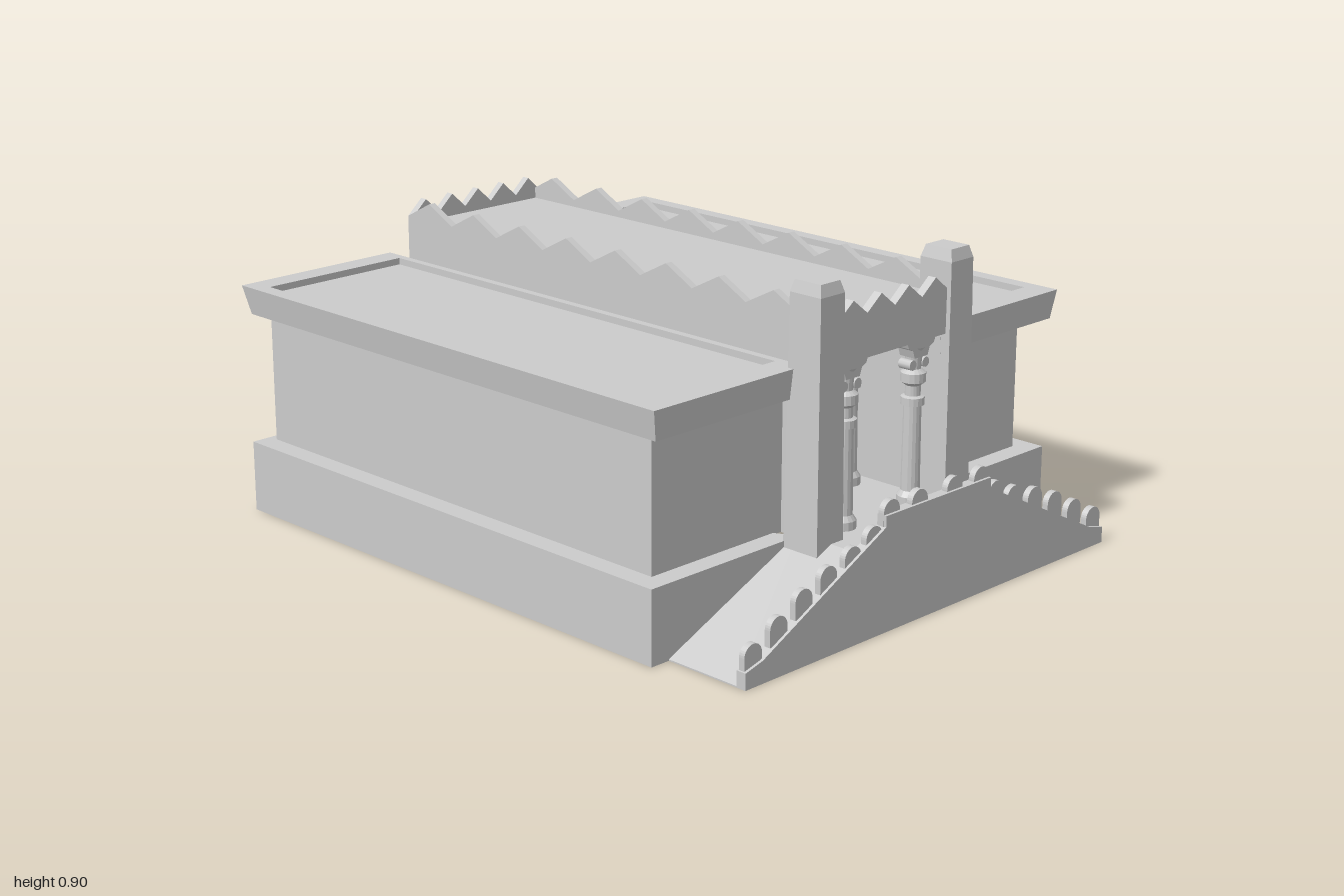
import * as THREE from 'three';

const mat = new THREE.MeshStandardMaterial({ color: 0xcccccc, side: THREE.DoubleSide });

function add(parent, name, geometry, x = 0, y = 0, z = 0) {
  const m = new THREE.Mesh(geometry, mat);
  m.name = name;
  m.position.set(x, y, z);
  parent.add(m);
  return m;
}

// box given by its limits
function block(parent, name, x0, x1, y0, y1, z0, z1) {
  return add(parent, name, new THREE.BoxGeometry(x1 - x0, y1 - y0, z1 - z0),
    (x0 + x1) / 2, (y0 + y1) / 2, (z0 + z1) / 2);
}

function plate(points, depth) {
  const s = new THREE.Shape(points.map(p => new THREE.Vector2(p[0], p[1])));
  return new THREE.ExtrudeGeometry(s, { depth, bevelEnabled: false });
}

// flat-faced shell through rectangles [x0, x1, z0, z1, y]; skip(i, side) leaves faces open
// sides: 0 front, 1 right (x1), 2 back, 3 left (x0)
function rectShell(rects, skip = () => false, cap = true) {
  const pos = [];
  const corners = ([x0, x1, z0, z1, y]) => [[x0, y, z1], [x1, y, z1], [x1, y, z0], [x0, y, z0]];
  const quad = (a, b, c, d) => pos.push(...a, ...b, ...c, ...a, ...c, ...d);
  for (let i = 0; i < rects.length - 1; i++) {
    const lo = corners(rects[i]), hi = corners(rects[i + 1]);
    for (let k = 0; k < 4; k++) {
      const n = (k + 1) % 4;
      if (!skip(i, k)) quad(lo[k], lo[n], hi[n], hi[k]);
    }
  }
  if (cap) quad(...corners(rects[rects.length - 1]));
  const g = new THREE.BufferGeometry();
  g.setAttribute('position', new THREE.Float32BufferAttribute(pos, 3));
  g.computeVertexNormals();
  return g;
}

// wall strip topped with pointed teeth, running along x from -length/2
function toothed(length, teeth, y0, valley, peak, depth) {
  const pts = [[-length / 2, y0], [length / 2, y0]];
  for (let i = teeth; i >= 0; i--) {
    const x = -length / 2 + (i * length) / teeth;
    pts.push([x, valley]);
    if (i) pts.push([x - length / teeth / 2, peak]);
  }
  return plate(pts, depth);
}

// side wing: plinth, wall, flared cornice and sunken roof, open underneath
function sideWing() {
  const g = new THREE.Group();
  g.name = 'sideWing';
  add(g, 'wingShell', rectShell([
    [0.25, 0.78, -0.875, 0.74, 0],
    [0.25, 0.78, -0.875, 0.74, 0.205],
    [0.28, 0.72, -0.845, 0.68, 0.205],
    [0.28, 0.72, -0.845, 0.68, 0.585],
    [0.26, 0.775, -0.86, 0.75, 0.585],
    [0.257, 0.79, -0.88, 0.76, 0.667],
    [0.28, 0.745, -0.81, 0.68, 0.667],
    [0.28, 0.745, -0.81, 0.68, 0.648],
  ], (i, k) => (k === 3 && i < 3) || (k === 0 && i === 0)));
  // plinth front above the ramp line
  add(g, 'plinthFront', plate([[0.72, 0], [0.78, 0], [0.78, 0.205], [0.25, 0.205]], 0.002), 0, 0, 0.738);
  // short returns that close the gap to the hall
  block(g, 'frontReturn', 0.21, 0.28, 0.2, 0.59, 0.64, 0.68);
  block(g, 'hallCorner', 0.21, 0.25, 0.2, 0.6, 0.68, 0.75);
  block(g, 'backReturn', 0.25, 0.28, 0, 0.59, -0.845, -0.77);
  return g;
}

// gate tower with a chamfered top
function tower() {
  return rectShell([
    [0.204, 0.304, 0.737, 0.853, 0.18],
    [0.209, 0.298, 0.743, 0.847, 0.865],
    [0.218, 0.29, 0.752, 0.838, 0.897],
  ]);
}

function column() {
  const g = new THREE.Group();
  g.name = 'column';
  const profile = [[0.036, 0.21], [0.036, 0.235], [0.026, 0.25], [0.024, 0.485], [0.032, 0.487], [0.032, 0.508],
    [0.021, 0.512], [0.021, 0.54], [0.034, 0.55], [0.034, 0.575], [0.02, 0.585], [0.024, 0.635], [0.03, 0.645]];
  add(g, 'shaft', new THREE.LatheGeometry(profile.map(p => new THREE.Vector2(...p)), 16).toNonIndexed());
  g.children[0].geometry.computeVertexNormals();
  // scrolls and bracket of the capital
  for (const s of [-1, 1]) {
    add(g, 'scroll', new THREE.CylinderGeometry(0.014, 0.014, 0.04, 10), s * 0.026, 0.6, 0).rotation.x = Math.PI / 2;
  }
  add(g, 'bracket', plate([[-0.026, 0.62], [0.026, 0.62], [0.034, 0.642], [0.05, 0.65], [0.06, 0.672],
    [-0.06, 0.672], [-0.05, 0.65], [-0.034, 0.642]], 0.05), 0, 0, -0.025);
  return g;
}

// forepart of a guardian bull facing -z
function bull() {
  const g = new THREE.Group();
  g.name = 'guardianBull';
  const ball = (name, x, y, z, sx, sy, sz, tilt = 0) => {
    const m = add(g, name, new THREE.SphereGeometry(1, 14, 10), x, y, z);
    m.scale.set(sx, sy, sz);
    m.rotation.x = tilt;
  };
  ball('body', 0, 0.275, -0.82, 0.042, 0.062, 0.07);
  ball('neck', 0, 0.305, -0.872, 0.03, 0.05, 0.042, 0.4);
  ball('head', 0, 0.305, -0.91, 0.023, 0.032, 0.032, 0.4);
  ball('muzzle', 0, 0.265, -0.93, 0.015, 0.03, 0.018, 0.5);
  for (const s of [-1, 1]) {
    add(g, 'leg', new THREE.CylinderGeometry(0.015, 0.011, 0.13, 8), s * 0.022, 0.195, -0.845);
    add(g, 'hoof', new THREE.CylinderGeometry(0.011, 0.016, 0.022, 8), s * 0.022, 0.141, -0.845);
    ball('ear', s * 0.034, 0.322, -0.895, 0.016, 0.006, 0.007);
    const horn = new THREE.CatmullRomCurve3([[0.014, 0.33, -0.91], [0.038, 0.336, -0.93],
      [0.045, 0.34, -0.96], [0.038, 0.35, -0.992]].map(p => new THREE.Vector3(s * p[0], p[1], p[2])));
    add(g, 'horn', new THREE.TubeGeometry(horn, 8, 0.0055, 6));
  }
  return g;
}

export function createModel() {
  const model = new THREE.Group();
  model.name = 'palaceGate';

  for (const s of [1, -1]) {
    const half = new THREE.Group();
    half.name = s > 0 ? 'leftHalf' : 'rightHalf';
    half.scale.x = s;
    model.add(half);
    half.add(sideWing());
    add(half, 'tower', tower());

    // toothed side wall of the hall
    const wall = add(half, 'hallSideWall', toothed(1.54, 8, 0.585, 0.79, 0.84, 0.022), 0.228, 0, -0.03);
    wall.rotation.y = Math.PI / 2;
    // portico side wall and columns
    block(half, 'porticoSide', 0.207, 0.213, 0.21, 0.68, 0.44, 0.82);
    for (const z of [0.79, 0.57]) {
      const c = column();
      c.position.set(0.135, 0, z);
      half.add(c);
    }

    // ramp surface
    add(half, 'ramp', plate([[0.72, 0], [0.72, 0.004], [0.25, 0.212], [0.25, 0.206]], 0.23), 0, 0, 0.74);

    // bull and stepped pedestal
    block(half, 'pedestal', 0.125, 0.235, 0, 0.13, -0.88, -0.5);
    block(half, 'pedestalStep', 0.105, 0.24, 0, 0.1, -0.8, -0.4);
    const b = bull();
    b.position.x = 0.175;
    half.add(b);

    // rounded battlements along the ramp and landing
    const spots = [[0.685, 0.11], [0.595, 0.155], [0.505, 0.2], [0.415, 0.235], [0.325, 0.262], [0.245, 0.295],
      [0.18, 0.35], [0.07, 0.35]];
    for (const [x, top] of spots) {
      const m = new THREE.Shape();
      m.moveTo(-0.031, -0.075);
      m.lineTo(0.031, -0.075);
      m.lineTo(0.031, -0.031);
      m.absarc(0, -0.031, 0.031, 0, Math.PI, false);
      add(half, 'battlement', new THREE.ExtrudeGeometry(m, { depth: 0.018, bevelEnabled: false, curveSegments: 8 }),
        x, top, 0.974);
    }
  }

  // stair front wall
  add(model, 'stairFront', plate([[-0.72, 0], [0.72, 0], [0.72, 0.045], [0.66, 0.06], [0.21, 0.285], [0.21, 0.315],
    [-0.21, 0.315], [-0.21, 0.285], [-0.66, 0.06], [-0.72, 0.045]], 0.03), 0, 0, 0.97);
  block(model, 'landing', -0.25, 0.25, 0.206, 0.212, 0.44, 0.97);

  // portico back, ceiling and toothed front
  block(model, 'porticoBack', -0.21, 0.21, 0.21, 0.68, 0.44, 0.446);
  block(model, 'porticoCeiling', -0.21, 0.21, 0.67, 0.68, 0.44, 0.82);
  add(model, 'porticoFront', toothed(0.43, 4, 0.672, 0.79, 0.832, 0.025), 0, 0, 0.81);

  // hall roof
  block(model, 'hallRoof', -0.24, 0.24, 0.755, 0.77, -0.79, 0.82);

  // back wall with doorway
  const pts = [[-0.15, 0], [-0.25, 0], [-0.25, 0.7], [0.25, 0.7], [0.25, 0], [0.15, 0], [0.15, 0.55], [-0.15, 0.55]];
  add(model, 'backWall', plate(pts, 0.03), 0, 0, -0.8);
  add(model, 'backParapet', toothed(0.5, 5, 0.7, 0.79, 0.835, 0.022), 0, 0, -0.8);
  for (const s of [-1, 1]) block(model, 'doorJamb', s * 0.155 - 0.005, s * 0.155 + 0.005, 0.1, 0.55, -0.79, -0.6);
  block(model, 'doorHead', -0.16, 0.16, 0.55, 0.56, -0.79, -0.6);
  block(model, 'passageFloor', -0.12, 0.12, 0.06, 0.09, -0.8, -0.4);

  return model;
}
